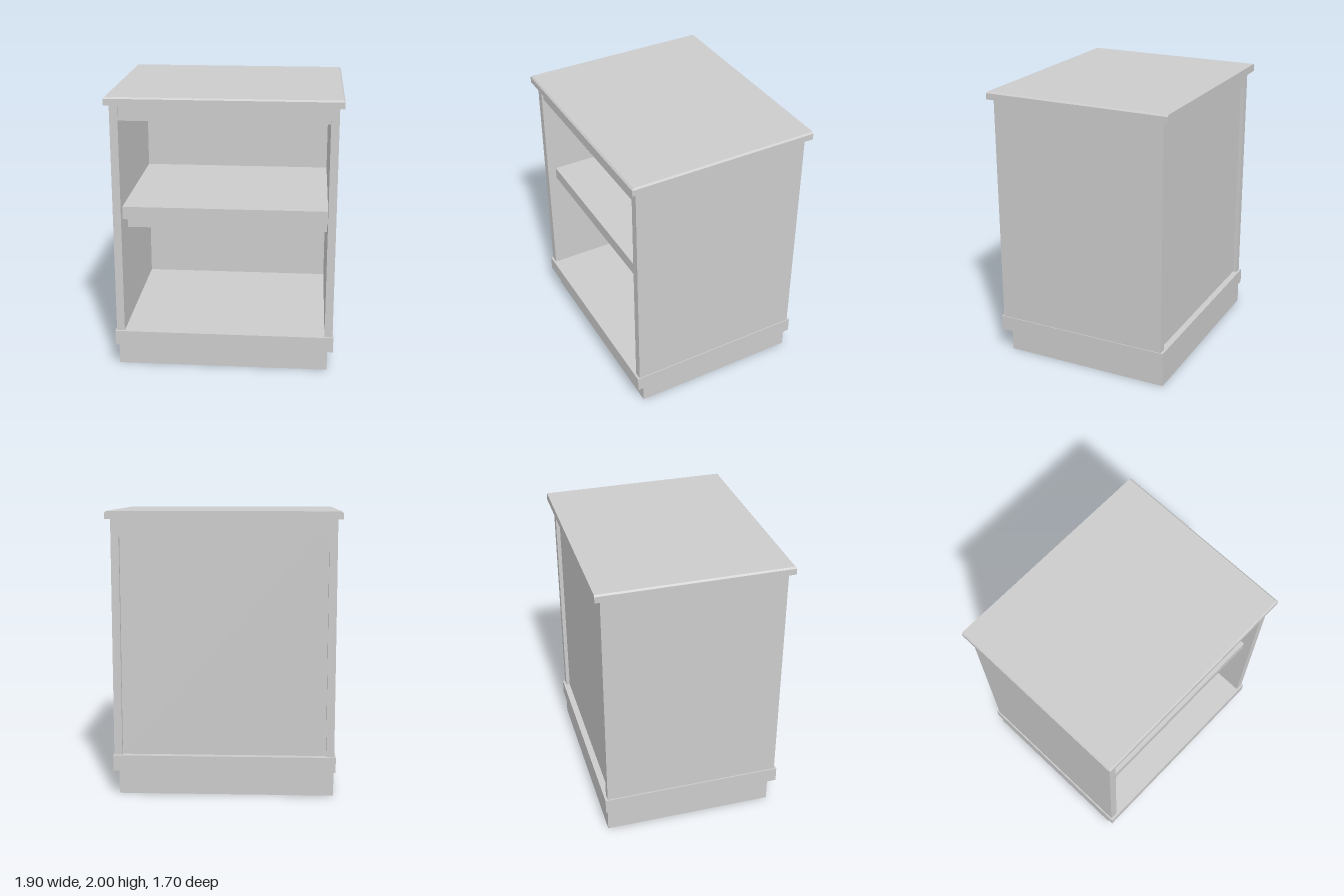
import * as THREE from 'three';

const material = new THREE.MeshStandardMaterial({ color: 0xcccccc });

// Box given by its min/max extents on each axis
function board(name, [x0, x1], [y0, y1], [z0, z1]) {
  const geo = new THREE.BoxGeometry(x1 - x0, y1 - y0, z1 - z0);
  geo.translate((x0 + x1) / 2, (y0 + y1) / 2, (z0 + z1) / 2);
  const mesh = new THREE.Mesh(geo, material);
  mesh.name = name;
  return mesh;
}

// Worktop slab, its upper edge bevelled at the front and sides
function worktop(halfW, halfD, y0, y1, bevel) {
  const h = y1 - y0;
  const box = new THREE.BoxGeometry(halfW * 2, h, halfD * 2, 1, 2, 1);
  const pos = box.attributes.position;
  for (let i = 0; i < pos.count; i++) {
    const y = pos.getY(i);
    if (Math.abs(y) < 1e-4) pos.setY(i, h / 2 - bevel);
    else if (y > 0) {
      pos.setX(i, pos.getX(i) - Math.sign(pos.getX(i)) * bevel);
      if (pos.getZ(i) > 0) pos.setZ(i, halfD - bevel);
    }
  }
  const geo = box.toNonIndexed();
  geo.computeVertexNormals();
  geo.translate(0, (y0 + y1) / 2, 0);
  const mesh = new THREE.Mesh(geo, material);
  mesh.name = 'worktop';
  return mesh;
}

export function createModel() {
  const cabinet = new THREE.Group();
  cabinet.name = 'cabinet';
  const inner = [-0.722, 0.722];
  const bodyTop = 1.945, floorTop = 0.28;

  // Base and floor
  cabinet.add(
    board('plinth', [-0.775, 0.745], [0, 0.17], [-0.643, 0.596]),
    board('floorBoard', [-0.789, 0.785], [0.17, floorTop], [-0.658, 0.658]),
  );

  // Side panels
  for (const [name, side] of [['leftPanel', 1], ['rightPanel', -1]]) {
    const xs = [side * 0.722, side * 0.779].sort((a, b) => a - b);
    cabinet.add(board(name, xs, [floorTop, bodyTop], [-0.64, 0.642]));
  }

  // Recessed back, rails, shelf and its support
  cabinet.add(
    board('backPanel', inner, [floorTop, bodyTop], [-0.612, -0.597]),
    board('backTopRail', inner, [1.83, bodyTop], [-0.64, -0.612]),
    board('frontTopRail', inner, [1.83, bodyTop], [0.575, 0.63]),
    board('shelf', inner, [1.11, 1.2], [-0.597, 0.578]),
    board('shelfSupport', inner, [0.99, 1.11], [0.34, 0.395]),
    worktop(0.812, 0.681, bodyTop, 2, 0.011),
  );

  // The cabinet stands turned about its vertical axis
  cabinet.rotation.y = THREE.MathUtils.degToRad(13.5);
  const model = new THREE.Group();
  model.name = 'bedsideCabinet';
  model.add(cabinet);
  return model;
}
